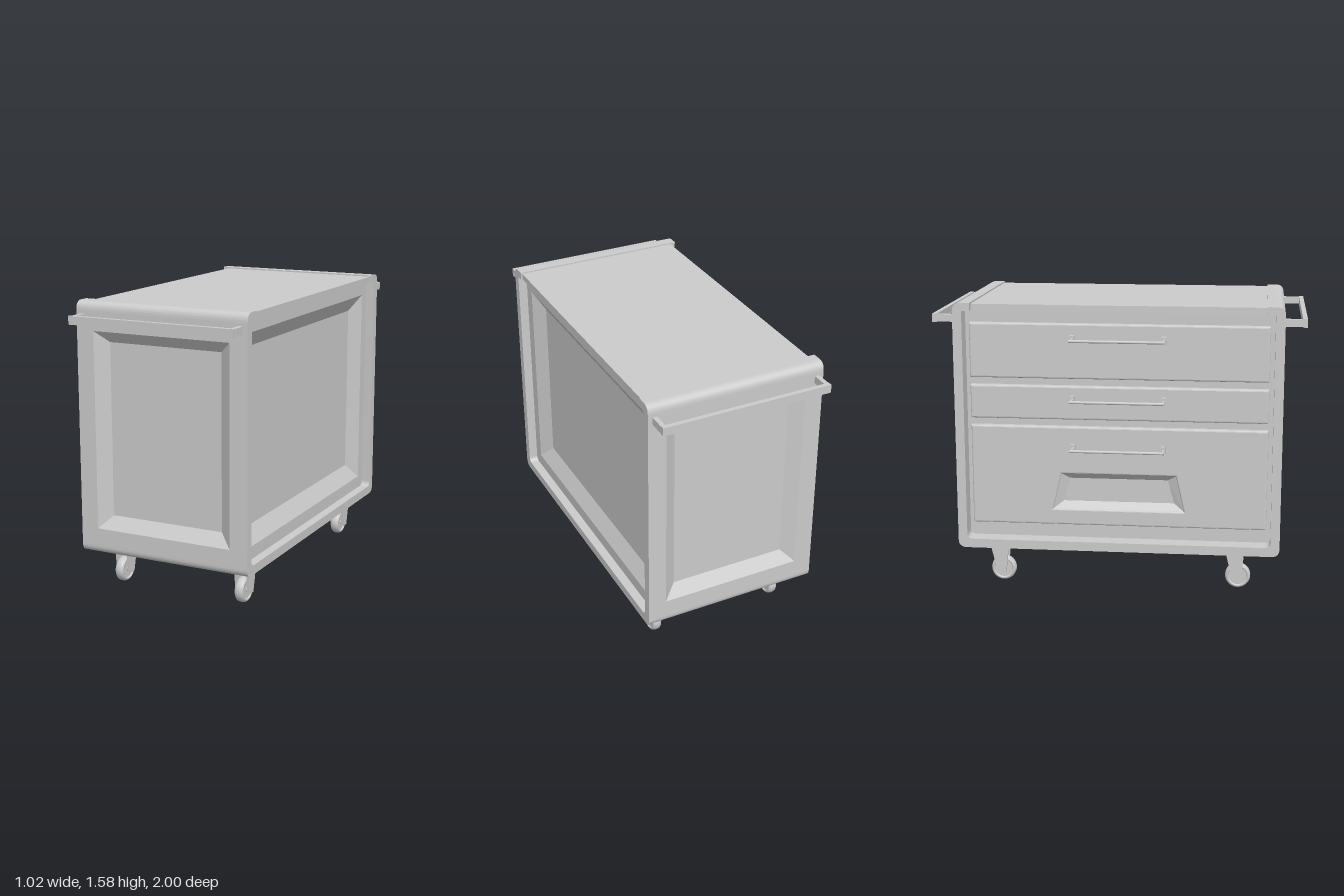
import * as THREE from 'three';

const CX = 0.015; // centre of the cabinet across its width
const mat = new THREE.MeshStandardMaterial({ color: 0xcccccc, side: THREE.DoubleSide });

function add(parent, name, geo, x = 0, y = 0, z = 0) {
  const m = new THREE.Mesh(geo, mat);
  m.name = name;
  m.position.set(x, y, z);
  parent.add(m);
  return m;
}

const box = (w, h, d) => new THREE.BoxGeometry(w, h, d);
const toShape = (pts) => new THREE.Shape(pts.map(([x, y]) => new THREE.Vector2(x, y)));
// Four corners of a trapezoid: half widths at the bottom and the top
const quad = (wb, y0, y1, wt = wb) => [[-wb, y0], [wb, y0], [wt, y1], [-wt, y1]];

// Plate with its front at z = 0, optionally with a sloped recess
function plate(name, outline, thickness, bevel = 0, rim, floor, depth) {
  const g = new THREE.Group();
  g.name = name;
  const shape = toShape(outline);
  if (rim) shape.holes.push(toShape(rim));
  const geo = new THREE.ExtrudeGeometry(shape, {
    depth: thickness - bevel, bevelEnabled: bevel > 0, bevelThickness: bevel,
    bevelSize: bevel, bevelOffset: -bevel, bevelSegments: 3,
  });
  add(g, name + 'Face', geo, 0, 0, -thickness);
  if (rim) {
    const pos = [];
    const r = rim.map(([x, y]) => [x, y, -bevel]);
    const f = floor.map(([x, y]) => [x, y, -depth]);
    for (let i = 0; i < 4; i++) {
      const j = (i + 1) % 4;
      pos.push(...r[i], ...r[j], ...f[j], ...r[i], ...f[j], ...f[i]);
    }
    pos.push(...f[0], ...f[1], ...f[2], ...f[0], ...f[2], ...f[3]);
    const recess = new THREE.BufferGeometry();
    recess.setAttribute('position', new THREE.Float32BufferAttribute(pos, 3));
    recess.computeVertexNormals();
    add(g, name + 'Recess', recess);
  }
  return g;
}

// Extrudes a (z, y) profile across the cabinet's width
function across(shape, width) {
  const geo = new THREE.ExtrudeGeometry(shape, { depth: width, bevelEnabled: false, curveSegments: 8 });
  geo.translate(0, 0, -width / 2);
  return geo.rotateY(-Math.PI / 2);
}

function bottomProfile() {
  const s = new THREE.Shape(), r = 0.045;
  s.moveTo(-0.885, 0.3);
  s.lineTo(-0.885, 0.22 + r);
  s.quadraticCurveTo(-0.885, 0.22, -0.885 + r, 0.22);
  s.lineTo(0.885 - r, 0.22);
  s.quadraticCurveTo(0.885, 0.22, 0.885, 0.22 + r);
  s.lineTo(0.885, 0.3);
  s.lineTo(0.835, 0.3);
  s.quadraticCurveTo(0.835, 0.27, 0.805, 0.27);
  s.lineTo(-0.805, 0.27);
  s.quadraticCurveTo(-0.835, 0.27, -0.835, 0.3);
  return s;
}

function topCornerProfile() {
  const s = new THREE.Shape();
  s.moveTo(0.835, 1.45);
  s.lineTo(0.885, 1.45);
  s.lineTo(0.885, 1.535);
  s.quadraticCurveTo(0.885, 1.583, 0.84, 1.583);
  s.lineTo(0.79, 1.583);
  s.lineTo(0.79, 1.54);
  s.lineTo(0.835, 1.54);
  return s;
}

// Swivel caster: tapered fork trailing to the back, rounded wheel with hub
function caster() {
  const g = new THREE.Group();
  g.name = 'caster';
  const cheek = toShape([[0.035, 0.22], [0.017, 0.05], [-0.03, 0.05], [-0.07, 0.22]]);
  for (const s of [-1, 1]) add(g, 'forkCheek', across(cheek, 0.014), s * 0.035);
  add(g, 'forkTop', box(0.084, 0.012, 0.105), 0, 0.214, -0.0175);
  const tyre = [[0.05, -0.018], [0.053, -0.025], [0.06, -0.025], [0.067, -0.018], [0.07, -0.007],
    [0.07, 0.007], [0.067, 0.018], [0.06, 0.025], [0.053, 0.025], [0.05, 0.018]];
  const wheel = new THREE.LatheGeometry(tyre.map(([r, h]) => new THREE.Vector2(r, h)), 32);
  add(g, 'tyre', wheel.rotateZ(Math.PI / 2), 0, 0.07, 0);
  add(g, 'wheelDisc', new THREE.CylinderGeometry(0.051, 0.051, 0.036, 32).rotateZ(Math.PI / 2), 0, 0.07, 0);
  add(g, 'axle', new THREE.CylinderGeometry(0.012, 0.012, 0.086, 16).rotateZ(Math.PI / 2), 0, 0.07, 0);
  return g;
}

// Drawer pull on the local z = 0 face
function pull() {
  const g = new THREE.Group();
  g.name = 'drawerPull';
  add(g, 'pullBar', new THREE.CylinderGeometry(0.008, 0.008, 0.51, 12).rotateZ(Math.PI / 2), 0, 0, 0.087);
  for (const s of [-1, 1]) {
    add(g, 'pullLeg', new THREE.CylinderGeometry(0.008, 0.008, 0.087, 12).rotateX(Math.PI / 2), s * 0.247, 0, 0.0435);
    add(g, 'pullMount', box(0.025, 0.04, 0.025), s * 0.247, 0, 0.0125);
  }
  return g;
}

export function createModel() {
  const model = new THREE.Group();
  model.name = 'drawerCart';
  const W = 0.99;

  // Wrap-around shell
  add(model, 'bottomShell', across(bottomProfile(), W), CX);
  for (const s of [1, -1]) {
    const corner = add(model, 'topCorner', across(topCornerProfile(), W), CX);
    const end = plate('endPanel', quad(W / 2, 0.3, 1.45), 0.05, 0,
      quad(0.395, 0.36, 1.43), quad(0.325, 0.43, 1.37), 0.05);
    end.position.set(CX, 0, s * 0.885);
    if (s < 0) corner.rotation.y = end.rotation.y = Math.PI;
    model.add(end);

    // Push handle
    const handle = new THREE.Group();
    handle.name = 'pushHandle';
    add(handle, 'handleBar', box(0.94, 0.045, 0.025), 0, 1.497, s * 0.9875);
    for (const k of [-1, 1]) add(handle, 'handleArm', box(0.025, 0.04, 0.1), k * 0.457, 1.497, s * 0.93);
    handle.position.x = CX;
    model.add(handle);
  }
  add(model, 'topSlab', box(0.95, 0.035, 1.58), 0.025, 1.5575, 0);
  add(model, 'topFiller', box(0.8, 0.02, 1.67), CX, 1.535, 0);

  // Plain side with a large recess
  const side = plate('sidePanel', quad(0.835, 0.27, 1.54), 0.02, 0,
    quad(0.765, 0.34, 1.465), quad(0.675, 0.43, 1.38), 0.05);
  side.rotation.y = Math.PI / 2;
  side.position.x = 0.46;
  model.add(side);

  // Drawer side
  const drawers = new THREE.Group();
  drawers.name = 'drawerSide';
  drawers.rotation.y = -Math.PI / 2;
  drawers.position.x = -0.42;
  add(drawers, 'carcassPanel', box(1.67, 1.27, 0.02), 0, 0.905, -0.045);
  const rows = [[1.17, 1.47, 1.39], [0.945, 1.13, 1.06], [0.35, 0.905, 0.79]];
  rows.forEach(([y0, y1, pullY], i) => {
    const outline = quad(0.81, y0, y1);
    drawers.add(i < 2 ? plate('drawerFront', outline, 0.035, 0.01)
      : plate('drawerFront', outline, 0.035, 0.01,
        quad(0.36, 0.44, 0.64, 0.315), quad(0.305, 0.48, 0.61, 0.27), 0.034));
    const p = pull();
    p.position.y = pullY;
    drawers.add(p);
  });
  model.add(drawers);

  // Casters, all trailing the same way
  for (const x of [-0.355, 0.38]) for (const z of [-0.655, 0.66]) {
    const c = caster();
    c.position.set(x, 0, z);
    model.add(c);
  }
  return model;
}
